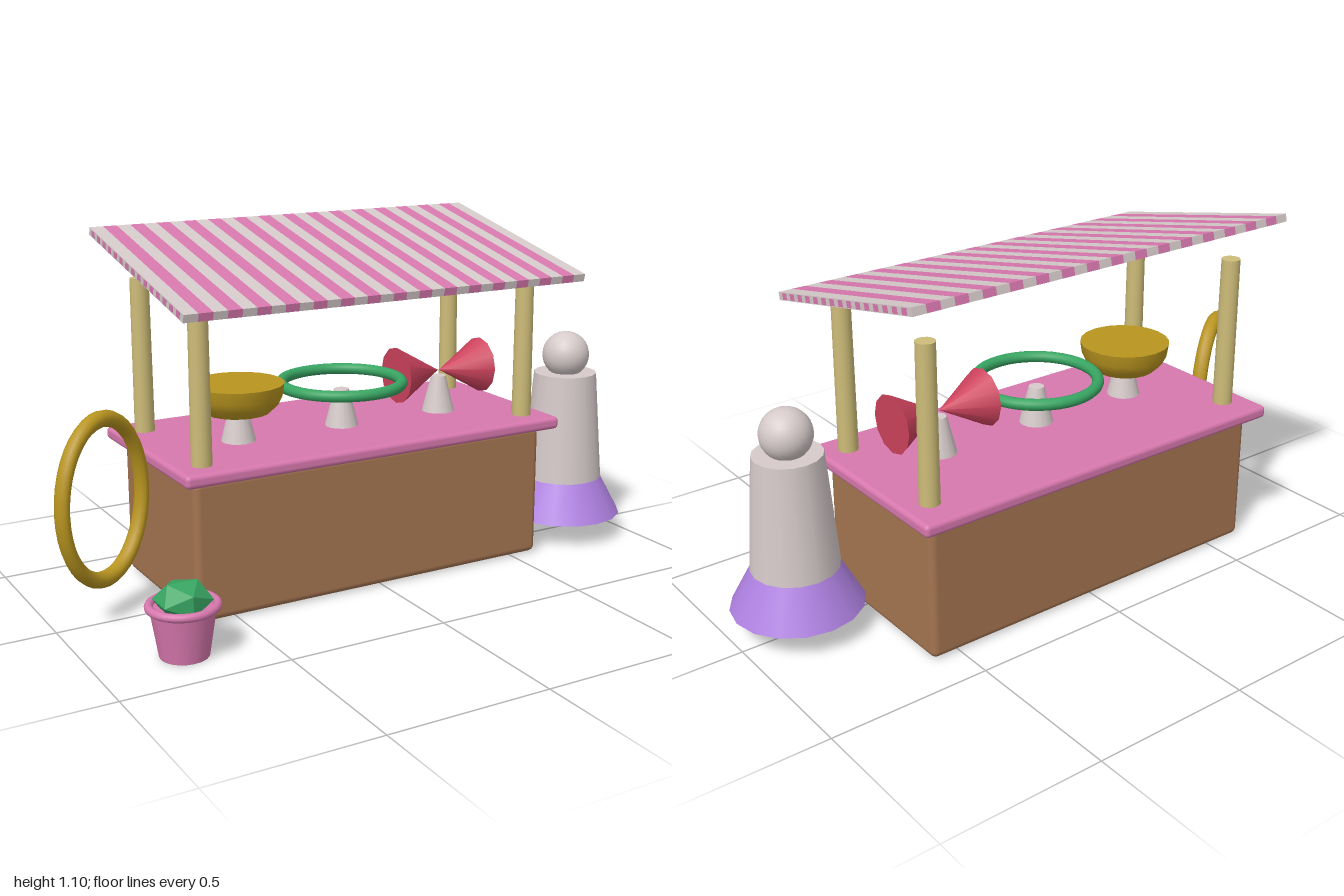
import * as THREE from 'three';
import { RoundedBoxGeometry } from 'three/addons/geometries/RoundedBoxGeometry.js';

const mat = (name, color, extra = {}) => {
  const m = new THREE.MeshStandardMaterial({ color, ...extra });
  m.name = name;
  return m;
};

export function createModel() {
  const pink = mat('pink', 0xd878ae);
  const white = mat('offWhite', 0xd6caca);
  const brown = mat('brownWood', 0xa47450);
  const pale = mat('paleWood', 0xcdbc78);
  const gold = mat('gold', 0xb8941f);
  const green = mat('green', 0x38a562);
  const leaf = mat('leafGreen', 0x38a562, { flatShading: true });
  const red = mat('red', 0xcc425c);
  const purple = mat('purple', 0xae80e0);

  const root = new THREE.Group();
  root.name = 'marketStall';
  const add = (name, geo, material, x, y, z, parent = root) => {
    const m = new THREE.Mesh(geo, material);
    m.name = name;
    m.position.set(x, y, z);
    parent.add(m);
    return m;
  };
  const CX = -0.018;

  // Counter
  add('counterBody', new RoundedBoxGeometry(1.22, 0.43, 0.54, 3, 0.022), brown, CX, 0.218, -0.108);
  add('counterTop', new RoundedBoxGeometry(1.305, 0.04, 0.633, 3, 0.014), pink, CX, 0.45, -0.108);

  // Corner poles, running from the ground to the canopy
  for (const sx of [-1, 1]) for (const z of [0.118, -0.313]) {
    add('pole', new THREE.CylinderGeometry(0.029, 0.033, 0.945, 16), pale, CX + sx * 0.566, 0.4775, z);
  }

  // Sloping canopy made of striped strips
  const canopy = new THREE.Group();
  canopy.name = 'canopy';
  canopy.position.set(CX, 1.009, -0.074);
  canopy.rotation.x = Math.atan2(0.155, 0.7);
  root.add(canopy);
  const W = 1.353, D = 0.718, T = 0.024, N = 31;
  for (let i = 0; i < N; i++) {
    const c = i % 2 ? pink : white;
    add('canopyStripe', new THREE.BoxGeometry(W / N, T, D), c, (i + 0.5) * W / N - W / 2, 0, 0, canopy);
    // Matching dashes on the two ends
    if (i % 2) for (const s of [-1, 1]) {
      add('edgeDash', new THREE.BoxGeometry(0.002, T * 0.8, D / N), pink,
        s * W / 2, 0, (i + 0.5) * D / N - D / 2, canopy);
    }
  }

  // Display stands
  const DZ = -0.065;
  for (const x of [-0.38, -0.02, 0.345]) {
    add('displayStand', new THREE.CylinderGeometry(0.024, 0.054, 0.12, 16), white, x, 0.527, DZ);
  }

  // Bowl with a closed top
  const bowlSide = [[0.098, 0.56], [0.124, 0.585], [0.137, 0.612], [0.143, 0.65]];
  const bowl = new THREE.Group();
  bowl.name = 'bowl';
  bowl.position.set(-0.38, 0, DZ);
  root.add(bowl);
  add('bowlSide', new THREE.LatheGeometry(bowlSide.map(p => new THREE.Vector2(...p)), 20), gold, 0, 0, 0, bowl);
  const lid = add('bowlTop', new THREE.CircleGeometry(0.143, 20), gold, 0, 0.65, 0, bowl);
  lid.rotation.x = -Math.PI / 2;
  const base = add('bowlBottom', new THREE.CircleGeometry(0.098, 20), gold, 0, 0.56, 0, bowl);
  base.rotation.x = Math.PI / 2;

  // Green hoop lying flat
  const hoop = add('displayHoop', new THREE.TorusGeometry(0.19, 0.018, 12, 40), green, -0.02, 0.608, DZ);
  hoop.rotation.x = Math.PI / 2;

  // Bow: two cones, tip to tip
  for (const s of [-1, 1]) {
    const cone = add('bowHalf', new THREE.ConeGeometry(0.091, 0.16, 12), red, 0.345 + s * 0.082, 0.605, DZ);
    cone.rotation.z = s * Math.PI / 2;
  }

  // Dress form
  const form = new THREE.Group();
  form.name = 'dressForm';
  form.position.set(0.797, 0, 0.027);
  root.add(form);
  add('head', new THREE.SphereGeometry(0.078, 24, 16), white, 0, 0.625, 0, form);
  add('torso', new THREE.CylinderGeometry(0.104, 0.133, 0.36, 16), white, 0, 0.385, 0, form);
  add('skirt', new THREE.CylinderGeometry(0.132, 0.2, 0.125, 16), purple, 0, 0.1425, 0, form);

  // Upright oval hoop beside the counter
  const oval = add('largeHoop', new THREE.TorusGeometry(0.24, 0.025, 12, 40), gold, -0.833, 0.367, -0.022);
  oval.scale.x = 0.72;
  oval.rotation.y = 0.51;

  // Potted plant
  const pot = new THREE.Group();
  pot.name = 'pottedPlant';
  pot.position.set(-0.74, 0, 0.321);
  root.add(pot);
  add('potBody', new THREE.CylinderGeometry(0.094, 0.071, 0.145, 20), pink, 0, 0.0725, 0, pot);
  const rim = add('potRim', new THREE.TorusGeometry(0.095, 0.0125, 10, 28), pink, 0, 0.147, 0, pot);
  rim.rotation.x = Math.PI / 2;
  const plant = add('plant', new THREE.IcosahedronGeometry(0.086, 0), leaf, 0, 0.165, 0, pot);
  plant.scale.y = 0.67;

  return root;
}
